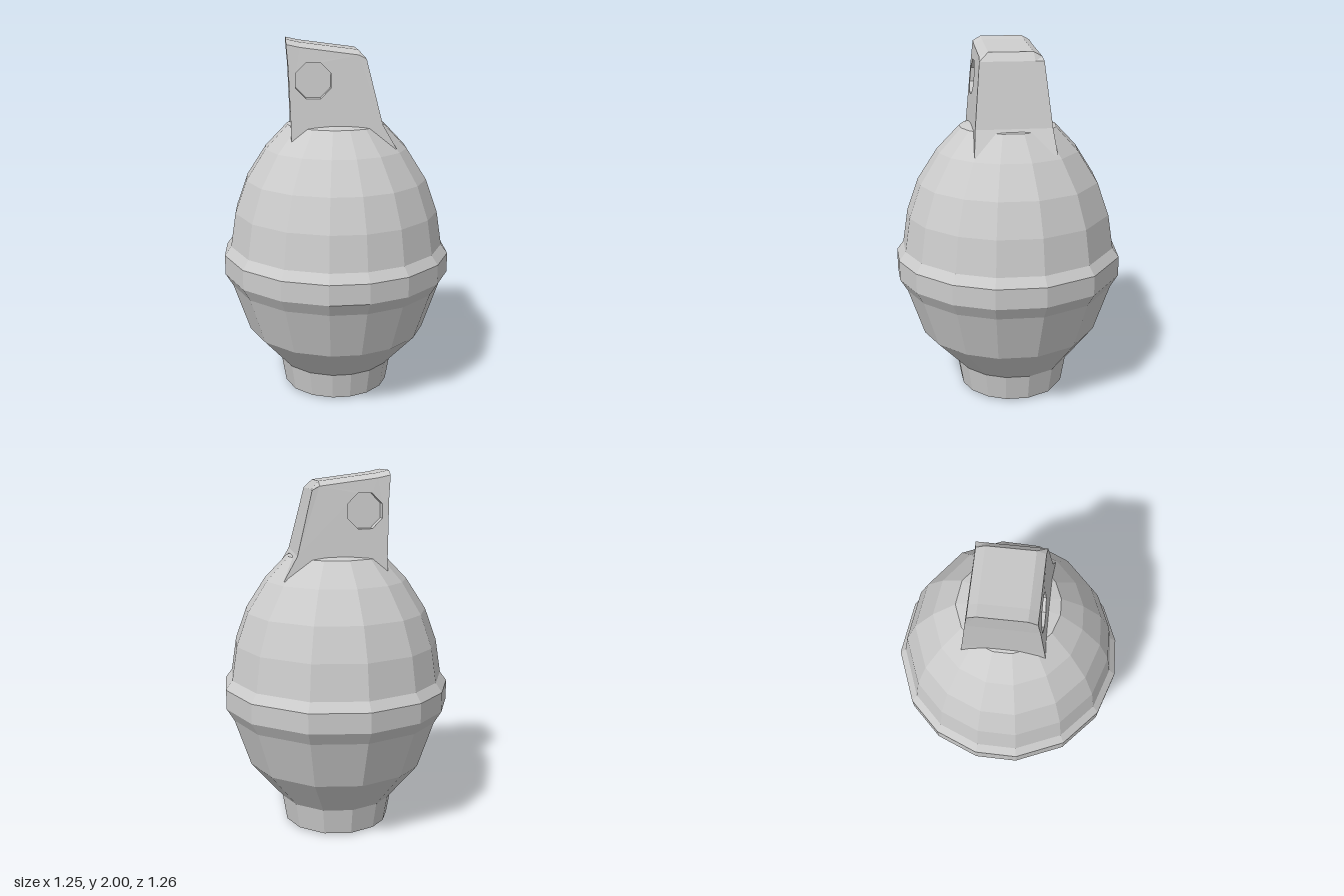
import * as THREE from 'three';

const material = new THREE.MeshStandardMaterial({ color: 0xcccccc, flatShading: true });

function addMesh(group, geometry, name) {
  const mesh = new THREE.Mesh(geometry, material);
  mesh.name = name;
  group.add(mesh);
}

// Faceted revolved body with a raised belt and a narrow foot, unevenly spaced sides
function bodyGeometry() {
  const profile = [
    [0, 0], [0.3, 0.01], [0.325, 0.16], [0.505, 0.37], [0.595, 0.64],
    [0.637, 0.71], [0.637, 0.82], [0.6, 0.87], [0.57, 1.06], [0.505, 1.24],
    [0.395, 1.41], [0.27, 1.54], [0, 1.6],
  ].map(([r, y]) => new THREE.Vector2(r, y));
  const angles = [-0.126, 0.205, 0.562, 0.965, 1.326, 1.746, 2.221, 2.761,
    3.267, 3.756, 4.128, 4.524, 4.885, 5.331, 5.756, 2 * Math.PI - 0.126];
  const geo = new THREE.LatheGeometry(profile, angles.length - 1);
  const pos = geo.attributes.position;
  for (let i = 0; i < pos.count; i++) {
    const p = profile[i % profile.length];
    const a = angles[Math.floor(i / profile.length)];
    const shift = p.y < 0.2 ? -0.02 : 0; // foot sits slightly back
    pos.setXYZ(i, p.x * Math.sin(a), p.y, p.x * Math.cos(a) + (p.x > 0 ? shift : 0));
  }
  geo.computeVertexNormals();
  return geo;
}

// Side outline of the neck, optionally pierced by an octagonal hole
function neckShape(withHole) {
  const shape = new THREE.Shape([
    [-0.25, 1.43], [0.31, 1.43], [0.235, 1.56], [0.15, 1.9], [0.11, 1.945],
    [-0.2, 1.985], [-0.27, 2], [-0.26, 1.85], [-0.25, 1.55],
  ].map(([x, y]) => new THREE.Vector2(x, y)));
  if (withHole) {
    const ring = [];
    for (let i = 0; i < 8; i++) {
      const a = -((i + 0.5) / 8) * Math.PI * 2;
      ring.push(new THREE.Vector2(-0.13 + 0.1 * Math.cos(a), 1.79 + 0.1 * Math.sin(a)));
    }
    shape.holes.push(new THREE.Path(ring));
  }
  return shape;
}

// Neck slab between two fractions of the half thickness, thinner towards the top
function neckSlab(from, to, withHole) {
  const geo = new THREE.ExtrudeGeometry(neckShape(withHole), { depth: to - from, bevelEnabled: false });
  geo.translate(0, 0, from);
  const pos = geo.attributes.position;
  for (let i = 0; i < pos.count; i++) {
    const y = pos.getY(i);
    const z = pos.getZ(i);
    pos.setZ(i, z * (0.172 + 0.1 * (1.9 - y)));
    // soften the outer top edges
    if (Math.abs(z) > 0.9 && y > 1.94) pos.setY(i, y - 0.025);
  }
  geo.computeVertexNormals();
  return geo;
}

export function createModel() {
  const group = new THREE.Group();
  group.name = 'beltedFlask';
  addMesh(group, bodyGeometry(), 'body');

  const neck = new THREE.Group();
  neck.name = 'neck';
  addMesh(neck, neckSlab(-0.72, 0.72, false), 'neckCore');
  addMesh(neck, neckSlab(0.72, 1, true), 'frontRecessPlate');
  addMesh(neck, neckSlab(-1, -0.72, true), 'backRecessPlate');
  group.add(neck);
  return group;
}
